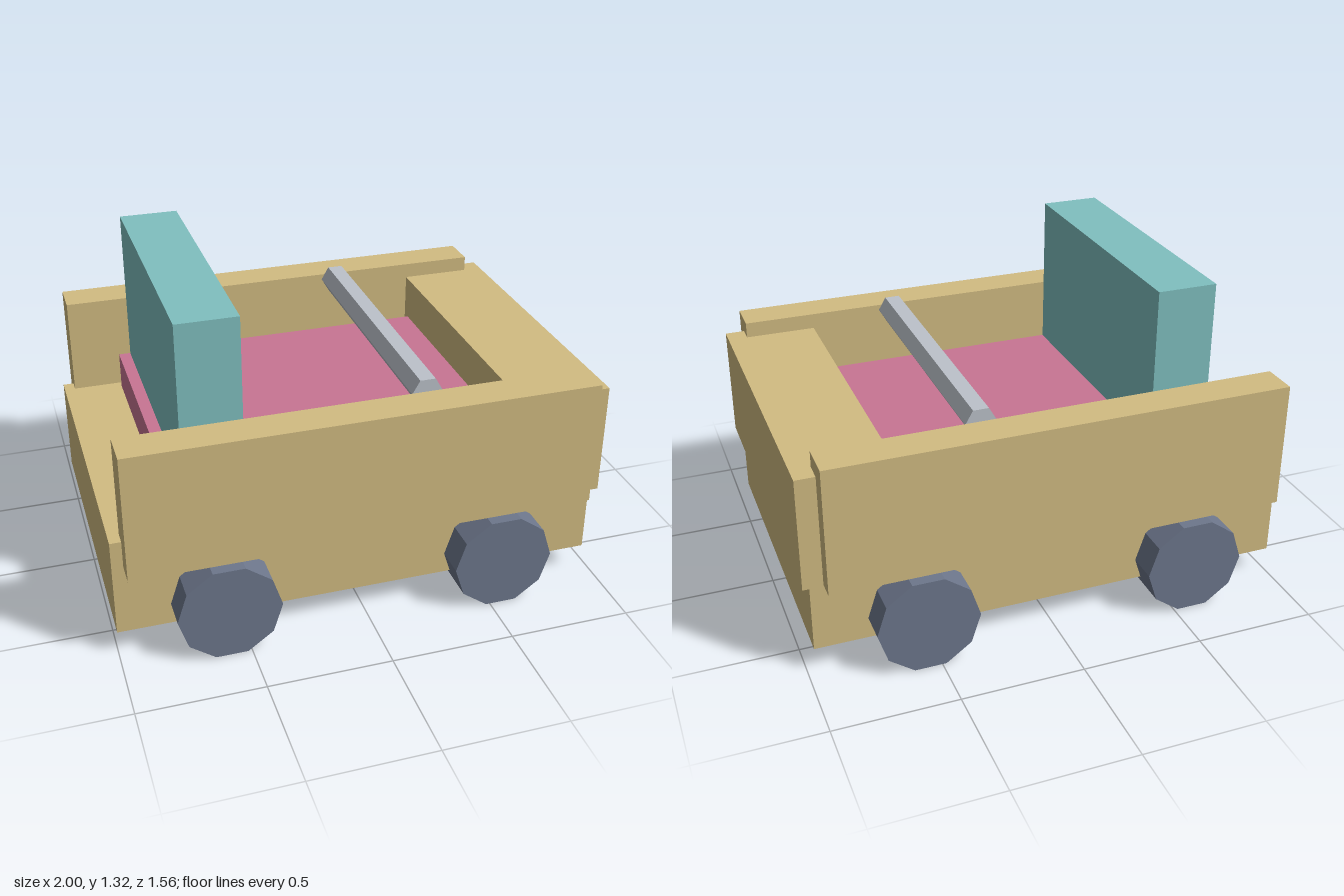
import * as THREE from 'three';

const material = (color) => new THREE.MeshStandardMaterial({ color, flatShading: true });

export function createModel() {
  const cart = new THREE.Group();
  cart.name = 'toyCart';

  const wood = material(0xd2bc82);
  const pink = material(0xc87593);
  const teal = material(0x80c0c0);
  const silver = material(0xbcc2ca);
  const slate = material(0x6d778c);

  function add(name, geometry, mat, x, y, z) {
    const mesh = new THREE.Mesh(geometry, mat);
    mesh.name = name;
    mesh.position.set(x, y, z);
    cart.add(mesh);
  }

  // Box given by its extents along each axis
  function box(name, mat, [x0, x1], [y0, y1], [z0, z1]) {
    add(name, new THREE.BoxGeometry(x1 - x0, y1 - y0, z1 - z0), mat,
      (x0 + x1) / 2, (y0 + y1) / 2, (z0 + z1) / 2);
  }

  // Prism lying along z, with a corner pointing along x
  function prism(name, mat, radius, length, sides, x, y, z) {
    const geometry = new THREE.CylinderGeometry(radius, radius, length, sides);
    geometry.rotateY(Math.PI / 2).rotateX(Math.PI / 2);
    add(name, geometry, mat, x, y, z);
  }

  // Wooden body
  box('base', wood, [-1, 0.97], [0.11, 0.52], [-0.655, 0.655]);
  box('noseBlock', wood, [0.625, 1], [0.4, 0.867], [-0.675, 0.675]);

  // Seat, backrest and hexagonal hand bar
  box('seat', pink, [-0.75, 0.625], [0.52, 0.68], [-0.565, 0.565]);
  box('backrest', teal, [-0.7, -0.457], [0.68, 1.327], [-0.562, 0.562]);
  prism('handBar', silver, 0.063, 1.165, 6, 0.266, 0.917, 0);

  // Side panels and wheels, mirrored left and right
  for (const [side, s] of [['left', 1], ['right', -1]]) {
    const panelZ = s > 0 ? [0.602, 0.753] : [-0.753, -0.602];
    box(side + 'Panel', wood, [-0.955, 0.92], [0.407, 0.932], panelZ);
    for (const [end, x] of [['Rear', -0.58], ['Front', 0.547]]) {
      prism(side + end + 'Wheel', slate, 0.206, 0.205, 10, x, 0.198, s * 0.678);
    }
  }
  return cart;
}
